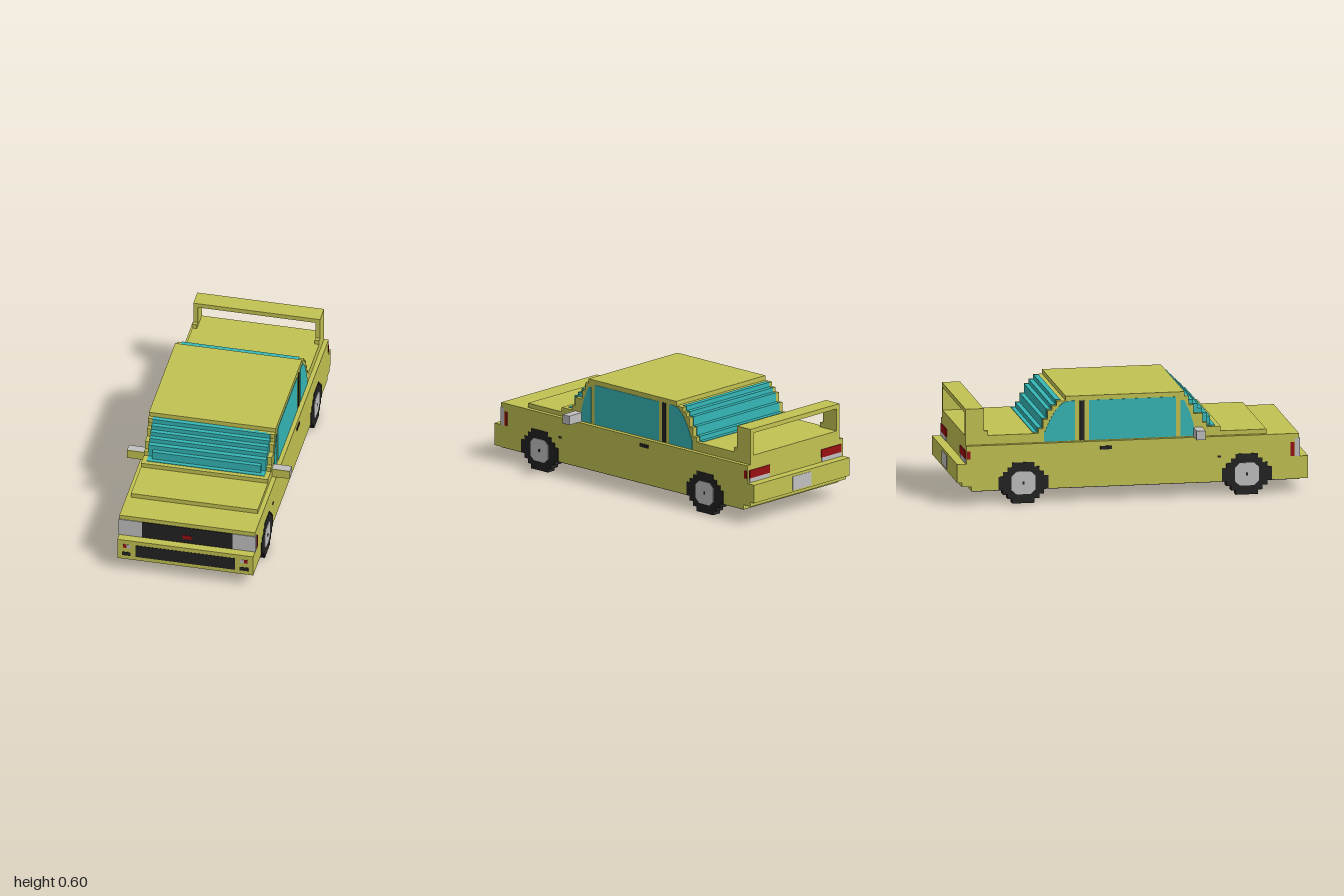
import * as THREE from 'three';

export function createModel() {
  const car = new THREE.Group();
  car.name = 'car';
  const mat = (name, color) => {
    const m = new THREE.MeshStandardMaterial({ color });
    m.name = name;
    return m;
  };
  const paint = mat('yellow paint', 0xc2c252);
  const glass = mat('teal glass', 0x35b6b6);
  const black = mat('black rubber', 0x222222);
  const silver = mat('silver', 0xc0c0c0);
  const red = mat('red lamp', 0x980f12);

  const add = (name, geo, m) => {
    const mesh = new THREE.Mesh(geo, m);
    mesh.name = name;
    car.add(mesh);
    return mesh;
  };
  // Box given by its limits on each axis
  const box = (name, m, x0, x1, y0, y1, z0, z1) => {
    const mesh = add(name, new THREE.BoxGeometry(x1 - x0, y1 - y0, z1 - z0), m);
    mesh.position.set((x0 + x1) / 2, (y0 + y1) / 2, (z0 + z1) / 2);
    return mesh;
  };
  const pair = (name, m, x0, x1, ...rest) => {
    box(name + 'Left', m, x0, x1, ...rest);
    box(name + 'Right', m, -x1, -x0, ...rest);
  };
  // Plate from a [z, y] outline, spanning x0 to x1, mirrored to both sides
  const sidePlates = (name, m, pts, x0, x1) => {
    const shape = new THREE.Shape(pts.map(([z, y]) => new THREE.Vector2(-z, y)));
    for (const [side, start] of [['Left', x0], ['Right', -x1]]) {
      const geo = new THREE.ExtrudeGeometry(shape, { depth: x1 - x0, bevelEnabled: false });
      geo.rotateY(Math.PI / 2);
      geo.translate(start, 0, 0);
      add(name + side, geo, m);
    }
  };

  // Lower body, bumpers and underside
  box('body', paint, -0.39, 0.39, 0.08, 0.338, -0.92, 0.948);
  box('rearPanel', paint, -0.39, 0.39, 0.105, 0.338, -0.948, -0.92);
  box('frontBumper', paint, -0.39, 0.39, 0.08, 0.208, 0.948, 1);
  box('rearBumperLower', paint, -0.39, 0.39, 0.105, 0.235, -0.974, -0.948);
  box('rearBumper', paint, -0.39, 0.39, 0.13, 0.235, -1, -0.974);
  box('underside', black, -0.386, 0.386, 0.076, 0.081, -0.915, 0.95);

  // Hood, cowl and trunk
  box('hood', paint, -0.364, 0.364, 0.338, 0.364, 0.3, 0.766);
  box('cowl', paint, -0.364, 0.364, 0.338, 0.39, 0.3, 0.506);
  box('trunk', paint, -0.364, 0.364, 0.338, 0.39, -0.948, -0.45);
  box('cabinBase', paint, -0.364, 0.364, 0.338, 0.39, -0.46, 0.4);

  // Stepped cabin: bottom, top, back and front of each layer
  const layers = [
    [0.39, 0.416, -0.532, 0.428], [0.416, 0.468, -0.506, 0.402],
    [0.468, 0.52, -0.48, 0.35], [0.52, 0.545, -0.455, 0.325],
    [0.545, 0.571, -0.428, 0.322], [0.571, 0.597, -0.377, 0.3],
  ];
  for (const [y0, y1, z0, z1] of layers) box('cabinLayer', paint, -0.364, 0.364, y0, y1, z0, z1);

  // Stepped windscreen: half width, bottom, top, front
  const screen = [
    [0.312, 0.39, 0.44, 0.456], [0.338, 0.39, 0.468, 0.432],
    [0.338, 0.468, 0.494, 0.404], [0.338, 0.494, 0.52, 0.378],
    [0.338, 0.52, 0.545, 0.353], [0.338, 0.545, 0.571, 0.327],
  ];
  for (const [w, y0, y1, z1] of screen) box('windscreenStep', glass, -w, w, y0, y1, 0.29, z1);
  box('windscreenFoot', glass, -0.338, 0.338, 0.388, 0.393, 0.4, 0.48);

  // Stepped rear window, just proud of the cabin layers
  for (const [y0, y1, z0] of layers.slice(0, 5)) {
    box('rearWindowStep', glass, -0.338, 0.338, y0, y1 + 0.003, z0 - 0.004, -0.402);
  }
  box('rearWindowFoot', glass, -0.338, 0.338, 0.388, 0.393, -0.56, -0.5);

  // Side windows and door pillar trim
  sidePlates('quarterWindow', glass,
    [[0.355, 0.342], [0.278, 0.342], [0.278, 0.55], [0.298, 0.55], [0.33, 0.48], [0.352, 0.41]], 0.361, 0.367);
  sidePlates('doorWindow', glass,
    [[0.25, 0.342], [-0.245, 0.342], [-0.245, 0.57], [0.245, 0.57], [0.25, 0.562]], 0.361, 0.367);
  sidePlates('rearSideWindow', glass,
    [[-0.325, 0.342], [-0.5, 0.342], [-0.5, 0.39], [-0.47, 0.46], [-0.435, 0.52], [-0.395, 0.56], [-0.36, 0.57], [-0.325, 0.57]], 0.361, 0.367);
  pair('pillarTrim', black, 0.361, 0.367, 0.342, 0.57, -0.297, -0.271);

  // Mirrors with painted front faces
  pair('mirror', silver, 0.364, 0.468, 0.338, 0.39, 0.35, 0.398);
  pair('mirrorFront', paint, 0.364, 0.468, 0.338, 0.39, 0.398, 0.402);

  // Rear spoiler
  pair('spoilerPost', paint, 0.338, 0.364, 0.338, 0.545, -0.948, -0.844);
  pair('spoilerFoot', paint, 0.338, 0.364, 0.39, 0.416, -0.844, -0.82);
  box('spoilerWing', paint, -0.364, 0.364, 0.519, 0.545, -0.948, -0.844);

  // Front face
  box('grille', black, -0.26, 0.26, 0.208, 0.312, 0.946, 0.952);
  box('grilleAccent', red, -0.025, 0.025, 0.236, 0.26, 0.95, 0.955);
  pair('headlight', silver, 0.26, 0.393, 0.208, 0.312, 0.925, 0.952);
  pair('sideMarker', red, 0.388, 0.394, 0.21, 0.29, 0.9, 0.92);
  box('lowerVent', black, -0.286, 0.286, 0.104, 0.182, 0.997, 1.002);
  pair('bumperLampInner', silver, 0.315, 0.338, 0.157, 0.18, 0.997, 1.002);
  pair('bumperLampOuter', red, 0.338, 0.357, 0.157, 0.18, 0.997, 1.002);
  pair('bumperSlot', black, 0.313, 0.362, 0.105, 0.128, 0.997, 1.002);

  // Rear face
  pair('tailLight', red, 0.21, 0.375, 0.262, 0.308, -0.953, -0.946);
  pair('tailLightCorner', red, 0.386, 0.393, 0.262, 0.308, -0.945, -0.925);
  pair('reverseLight', silver, 0.215, 0.375, 0.238, 0.262, -0.953, -0.946);
  box('rearPlate', silver, -0.075, 0.075, 0.14, 0.22, -1.002, -0.997);

  // Door handles and small fender marks
  pair('doorHandle', black, 0.388, 0.394, 0.29, 0.31, -0.185, -0.12);
  pair('fenderMark', black, 0.388, 0.393, 0.217, 0.228, 0.482, 0.502);

  // Blocky wheels from stacked rows, with flat hubs
  const rows = [0.064, 0.09, 0.117, 0.142, 0.142, 0.142, 0.117, 0.09, 0.064];
  for (const zc of [0.65, -0.623]) {
    rows.forEach((h, i) => pair('tyreRow', black, 0.338, 0.393, i * 0.026, (i + 1) * 0.026, zc - h, zc + h));
    const hub = [[0.068, 0.04], [0.04, 0.065], [-0.04, 0.065], [-0.068, 0.04],
      [-0.068, -0.04], [-0.04, -0.065], [0.04, -0.065], [0.068, -0.04]];
    sidePlates('hub', silver, hub.map(([z, y]) => [zc + z, 0.117 + y]), 0.39, 0.396);
    pair('hubCap', black, 0.394, 0.398, 0.109, 0.125, zc - 0.006, zc + 0.006);
  }
  return car;
}
